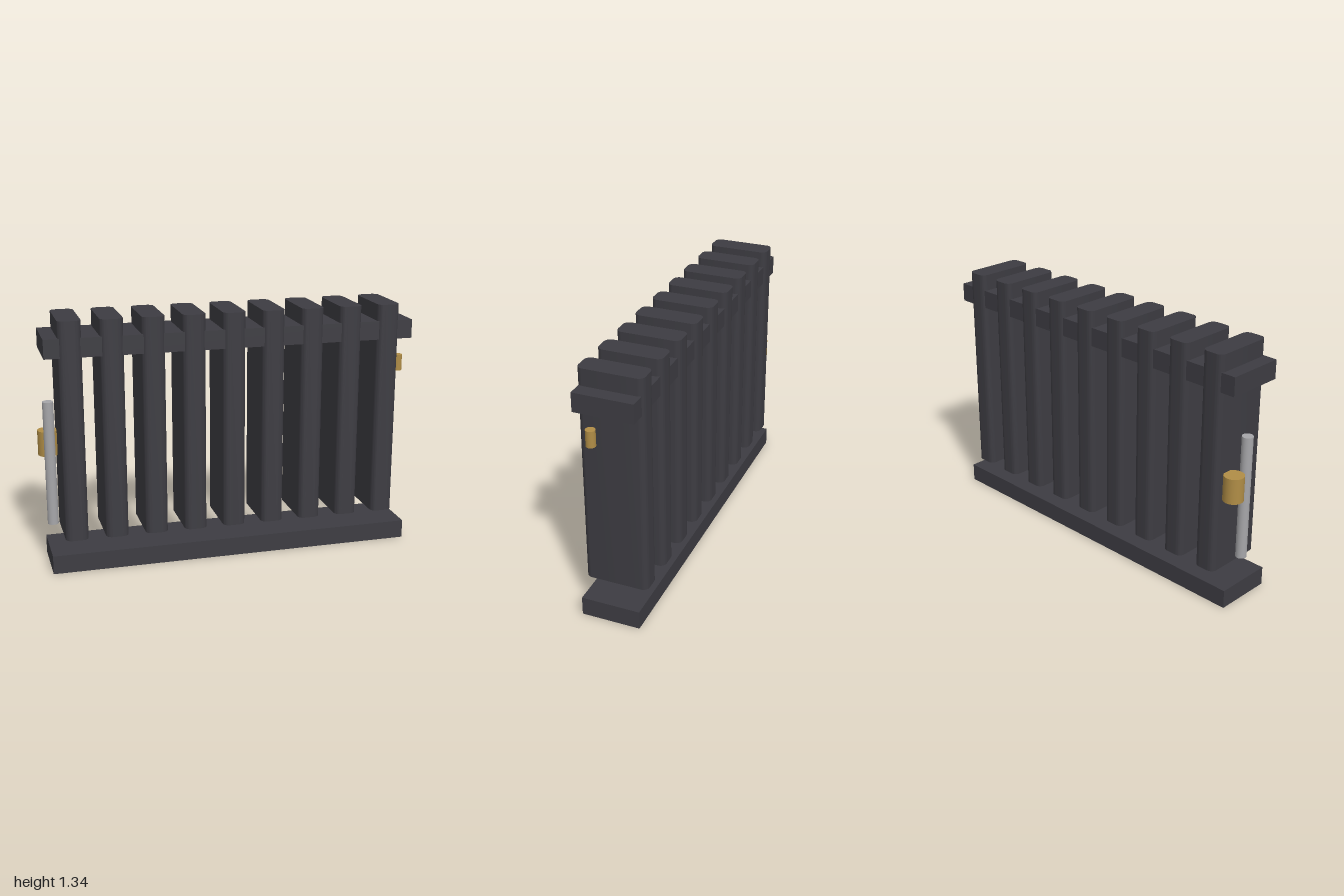
import * as THREE from 'three';
import { toCreasedNormals } from 'three/addons/utils/BufferGeometryUtils.js';

const iron = new THREE.MeshStandardMaterial({ name: 'darkIron', color: 0x3d3c42 });
const brass = new THREE.MeshStandardMaterial({ name: 'brass', color: 0xb08d46 });
const steel = new THREE.MeshStandardMaterial({ name: 'steel', color: 0xa6a6a9 });

// Upright column: rounded rectangle footprint extruded upwards
function columnGeometry(width, depth, radius, y0, y1) {
  const w = width / 2, d = depth / 2, r = radius;
  const s = new THREE.Shape();
  s.moveTo(-w + r, -d);
  s.lineTo(w - r, -d);
  s.absarc(w - r, -d + r, r, -Math.PI / 2, 0);
  s.lineTo(w, d - r);
  s.absarc(w - r, d - r, r, 0, Math.PI / 2);
  s.lineTo(-w + r, d);
  s.absarc(-w + r, d - r, r, Math.PI / 2, Math.PI);
  s.lineTo(-w, -d + r);
  s.absarc(-w + r, -d + r, r, Math.PI, Math.PI * 1.5);
  const g = new THREE.ExtrudeGeometry(s, { depth: y1 - y0, bevelEnabled: false, curveSegments: 6 });
  g.rotateX(-Math.PI / 2).translate(0, y0, 0);
  return toCreasedNormals(g, Math.PI / 5);
}

export function createModel() {
  const model = new THREE.Group();
  model.name = 'radiator';

  const add = (name, geometry, material, x, y, z) => {
    const mesh = new THREE.Mesh(geometry, material);
    mesh.name = name;
    mesh.position.set(x, y, z);
    model.add(mesh);
  };
  const cylinder = (name, material, r, x, y0, y1, z) =>
    add(name, new THREE.CylinderGeometry(r, r, y1 - y0, 24), material, x, (y0 + y1) / 2, z);

  // Nine evenly spaced columns
  const column = columnGeometry(0.12, 0.335, 0.033, 0.18, 1.345);
  for (let i = 0; i < 9; i++) {
    add(`column${i + 1}`, column, iron, -0.84 + i * 0.213, 0, 0);
  }

  // Horizontal rails running through the whole length
  const rail = new THREE.BoxGeometry(1.973, 0.1, 0.312);
  add('baseRail', rail, iron, 0.0135, 0.05, 0);
  add('topRail', rail, iron, 0.0135, 1.206, 0);

  // End fittings
  cylinder('valve', brass, 0.053, -0.947, 0.585, 0.72, -0.09);
  cylinder('supplyPipe', steel, 0.029, -0.947, 0.227, 0.898, 0);
  cylinder('bleedValve', brass, 0.025, 0.953, 0.967, 1.054, 0.09);

  return model;
}
